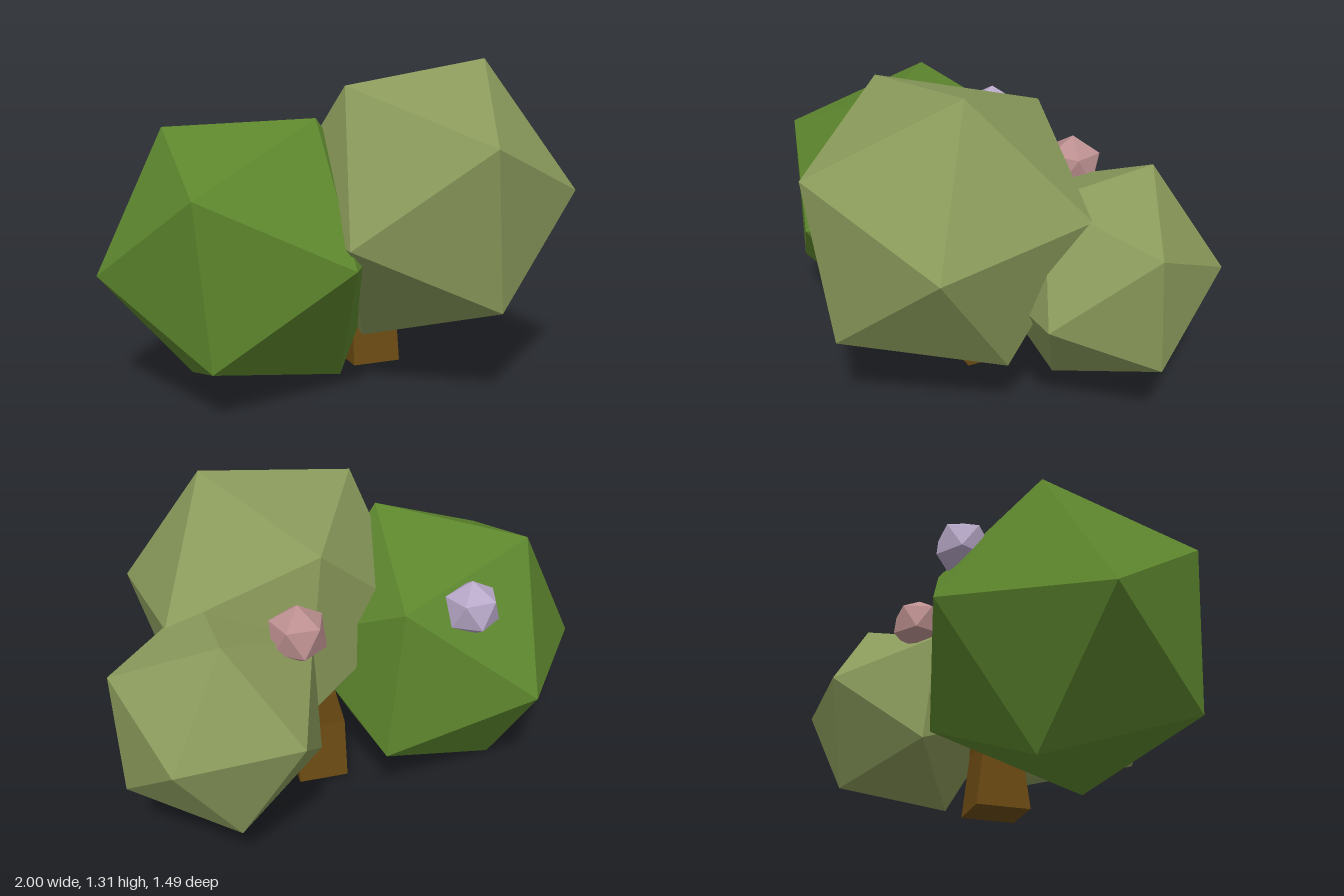
import * as THREE from 'three';

const material = (color) => new THREE.MeshStandardMaterial({ color, flatShading: true });

// Icosahedron turned so that one edge runs between directions a and b
function facetedBall(name, color, radius, centre, a, b) {
  const va = new THREE.Vector3(...a).normalize();
  const vb = new THREE.Vector3(...b).normalize();
  const y = va.clone().add(vb).normalize();
  const x = va.clone().sub(vb);
  x.addScaledVector(y, -x.dot(y)).normalize();
  const z = x.clone().cross(y);
  const mesh = new THREE.Mesh(new THREE.IcosahedronGeometry(radius, 0), material(color));
  mesh.quaternion.setFromRotationMatrix(new THREE.Matrix4().makeBasis(x, y, z));
  mesh.position.set(...centre);
  mesh.name = name;
  return mesh;
}

// Square trunk that leans and narrows from ring to ring
function trunk() {
  const rings = [ // x, y, z, width, depth
    [0.155, 0.02, -0.07, 0.21, 0.225],
    [0.155, 0.28, -0.075, 0.20, 0.16],
    [0.17, 0.42, -0.08, 0.16, 0.15],
    [0.20, 0.62, -0.06, 0.13, 0.13],
  ];
  const geometry = new THREE.BoxGeometry(1, 1, 1, 1, rings.length - 1, 1);
  const p = geometry.attributes.position;
  for (let i = 0; i < p.count; i++) {
    const [x, y, z, w, d] = rings[Math.round((p.getY(i) + 0.5) * (rings.length - 1))];
    p.setXYZ(i, x + p.getX(i) * w, y, z + p.getZ(i) * d);
  }
  geometry.computeVertexNormals();
  const mesh = new THREE.Mesh(geometry, material(0x6b4a12));
  mesh.name = 'trunk';
  return mesh;
}

export function createModel() {
  const group = new THREE.Group();
  group.name = 'bush';
  const olive = 0x8a9a5b;
  group.add(
    trunk(),
    // Foliage
    facetedBall('largeFoliage', olive, 0.617, [0.293, 0.757, 0.185], [0.255, 0.563, 0.025], [0.03, 0.263, 0.55]),
    facetedBall('greenFoliage', 0x5d862d, 0.617, [-0.39, 0.553, 0.015], [0.21, 0.55, 0.185], [-0.31, 0.5, -0.195]),
    facetedBall('smallFoliage', olive, 0.455, [0.605, 0.555, -0.357], [0.005, 0.405, -0.195], [0.395, 0.225, 0.015]),
    // Blossoms
    facetedBall('pinkBlossom', 0xbc8f8f, 0.12, [0.3, 0.88, -0.39], [-0.53, 0.45, -0.72], [0, 1, 0]),
    facetedBall('lilacBlossom', 0xb8a9c9, 0.115, [-0.39, 0.885, -0.39], [-0.53, 0.4, -0.72], [0.1, 1, 0.1]),
  );
  return group;
}
